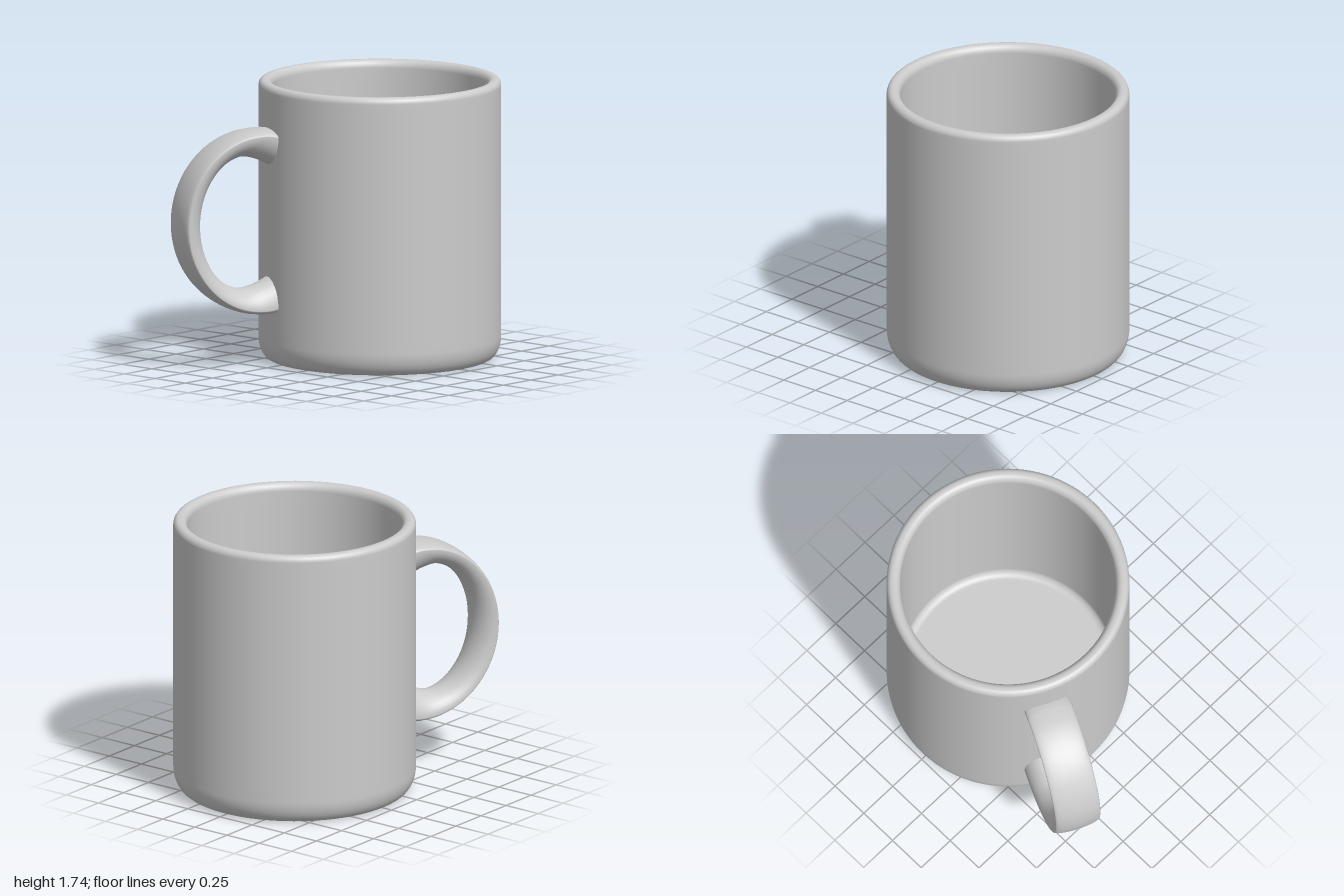
import * as THREE from 'three';

const material = new THREE.MeshStandardMaterial({ color: 0xcccccc, side: THREE.DoubleSide });

// Points along an elliptical arc between two angles in degrees
function arc(cx, cy, rx, ry, from, to, steps) {
  return Array.from({ length: steps + 1 }, (_, i) => {
    const a = THREE.MathUtils.degToRad(from + ((to - from) * i) / steps);
    return new THREE.Vector2(cx + rx * Math.cos(a), cy + ry * Math.sin(a));
  });
}

// Cup wall: rounded foot, rolled rim, inner wall and floor in one profile
function createCup() {
  const profile = [
    new THREE.Vector2(0, 0),
    new THREE.Vector2(0.64, 0),
    ...arc(0.665, 0.14, 0.08, 0.14, -90, 0, 12),
    new THREE.Vector2(0.745, 0.2),
    new THREE.Vector2(0.745, 1.66),
    ...arc(0.71, 1.695, 0.035, 0.04, 0, 90, 8),
    ...arc(0.7, 1.685, 0.04, 0.05, 90, 180, 8),
    new THREE.Vector2(0.66, 1.6),
    new THREE.Vector2(0.66, 0.18),
    ...arc(0.61, 0.14, 0.05, 0.05, 0, -90, 8),
    new THREE.Vector2(0.58, 0.09),
    new THREE.Vector2(0, 0.09),
  ];
  const cup = new THREE.Mesh(new THREE.LatheGeometry(profile, 96), material);
  cup.name = 'cup';
  return cup;
}

// Handle: D-shaped sections spanned between an outer and an inner side curve
function createHandle() {
  const midY = 0.9;
  const halfWidth = 0.145;
  const bow = 0.2; // share of the thickness in front of the widest line
  const rail = (ends, cx, rx, ry) => {
    const top = ends.map(([x, y]) => new THREE.Vector2(x, y));
    const bottom = top.map((p) => new THREE.Vector2(p.x, 2 * midY - p.y)).reverse();
    return new THREE.SplineCurve([...top, ...arc(cx, midY, rx, ry, 90, -90, 16), ...bottom]);
  };
  const outer = rail([[0.7, 1.47], [0.75, 1.475]], 0.8, 0.548, 0.575);
  const inner = rail([[0.7, 1.225], [0.81, 1.282]], 0.915, 0.29, 0.41);

  const rings = 80;
  const sides = 32;
  const positions = [];
  const indices = [];
  for (let i = 0; i <= rings; i++) {
    const o = outer.getPoint(i / rings);
    const n = inner.getPoint(i / rings);
    for (let j = 0; j < sides; j++) {
      const a = (j / sides) * Math.PI * 2;
      const s = Math.sin(a);
      const p = o.clone().lerp(n, bow + (s > 0 ? (1 - bow) * s : bow * s));
      positions.push(p.x, p.y, halfWidth * Math.cos(a));
      if (i === rings) continue;
      const here = i * sides + j;
      const next = i * sides + ((j + 1) % sides);
      indices.push(here, next, here + sides, next, next + sides, here + sides);
    }
  }
  const geometry = new THREE.BufferGeometry();
  geometry.setAttribute('position', new THREE.Float32BufferAttribute(positions, 3));
  geometry.setIndex(indices);
  geometry.computeVertexNormals();
  const handle = new THREE.Mesh(geometry, material);
  handle.name = 'handle';
  handle.rotation.y = Math.PI - 0.449;
  return handle;
}

export function createModel() {
  const mug = new THREE.Group();
  mug.name = 'mug';
  mug.add(createCup(), createHandle());
  mug.position.x = 0.255;
  const model = new THREE.Group();
  model.add(mug);
  return model;
}
